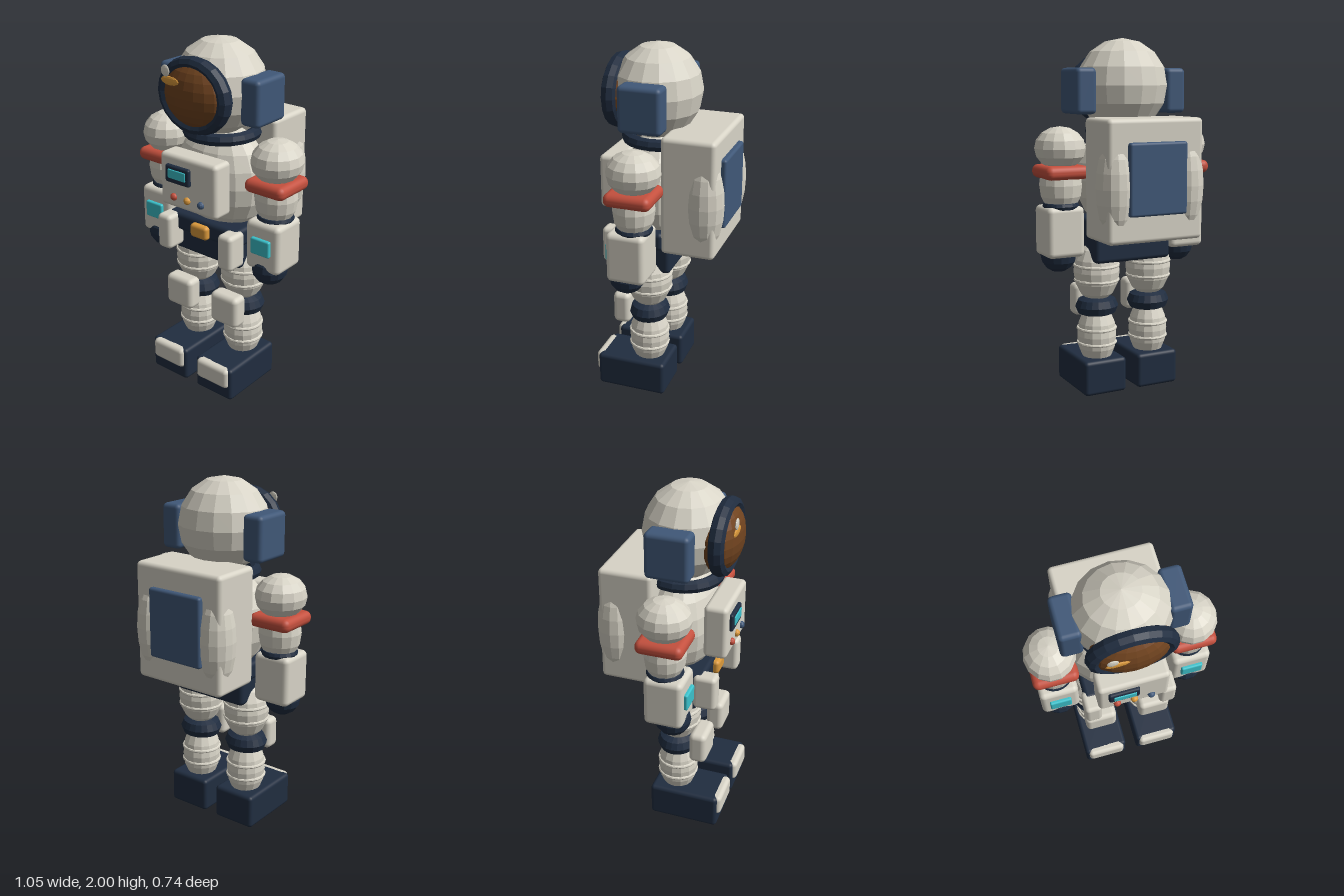
import * as THREE from 'three';
import { RoundedBoxGeometry } from 'three/addons/geometries/RoundedBoxGeometry.js';

function material(name, color, flat = false) {
  const m = new THREE.MeshStandardMaterial({ color, flatShading: flat });
  m.name = name;
  return m;
}

export function createModel() {
  const model = new THREE.Group();
  model.name = 'astronaut';

  const white = material('suitWhite', 0xd8d4c7);
  const navy = material('navy', 0x202d40);
  const blue = material('steelBlue', 0x405878);
  const red = material('red', 0xc4503e);
  const gold = material('gold', 0xdc9a3c);
  const cyan = material('cyan', 0x3cc2cc);
  const brown = material('visorBrown', 0x70431f);

  function add(name, geometry, mat, x, y, z, parent = model) {
    const mesh = new THREE.Mesh(geometry, mat);
    mesh.name = name;
    mesh.position.set(x, y, z);
    parent.add(mesh);
    return mesh;
  }
  // Box with rounded edges, given by its size and centre
  function box(name, mat, [w, h, d], [x, y, z], r, parent) {
    const radius = Math.min(r, Math.min(w, h, d) * 0.49);
    return add(name, new RoundedBoxGeometry(w, h, d, 3, radius), mat, x, y, z, parent);
  }
  // Faceted ellipsoid: the normals are taken per face
  function ball(name, mat, [rx, ry, rz], [x, y, z], parent, ws = 14, hs = 8) {
    const g = new THREE.SphereGeometry(1, ws, hs).scale(rx, ry, rz).toNonIndexed();
    g.computeVertexNormals();
    return add(name, g, mat, x, y, z, parent);
  }
  // Faceted ring, lying flat unless upright
  function ring(name, mat, R, tube, [x, y, z], parent, [sx, sy, sz] = [1, 1, 1], upright = false) {
    let g = new THREE.TorusGeometry(R, tube, 8, 20);
    if (!upright) g.rotateX(Math.PI / 2);
    g = g.scale(sx, sy, sz).toNonIndexed();
    g.computeVertexNormals();
    return add(name, g, mat, x, y, z, parent);
  }

  // Helmet
  ball('helmet', white, [0.26, 0.26, 0.245], [0, 1.74, 0.07], model, 16, 8);
  ring('visorRim', navy, 0.2, 0.038, [0, 1.725, 0.275], model, [1, 0.87, 1.15], true);
  ball('visor', brown, [0.21, 0.182, 0.115], [0, 1.725, 0.25], model, 20, 12);
  ball('visorGlintGold', gold, [0.062, 0.024, 0.008], [-0.095, 1.805, 0.355], model, 12, 6);
  ball('visorGlintWhite', white, [0.03, 0.031, 0.008], [-0.12, 1.855, 0.36], model, 10, 6);
  ring('neckRing', navy, 0.185, 0.035, [0, 1.488, 0.05], model);

  // Torso
  ball('torso', white, [0.29, 0.31, 0.2], [0, 1.22, 0.05], model, 16, 10);
  box('chestPanel', white, [0.39, 0.305, 0.13], [0, 1.248, 0.28], 0.025);
  box('screenFrame', navy, [0.168, 0.1, 0.03], [-0.058, 1.296, 0.35], 0.012);
  box('screen', cyan, [0.122, 0.052, 0.014], [-0.056, 1.3, 0.364], 0.005);
  [red, gold, blue].forEach((mat, i) =>
    ball('chestButton', mat, [0.021, 0.021, 0.02], [(i - 1) * 0.095, 1.162, 0.347], model, 12, 8));

  // Hips and belt
  box('hips', navy, [0.47, 0.22, 0.27], [0, 0.87, 0.06], 0.025);
  box('belt', navy, [0.5, 0.105, 0.275], [0, 0.953, 0.1], 0.025);
  box('buckle', gold, [0.12, 0.08, 0.05], [0, 0.946, 0.245], 0.02);

  // Backpack
  box('backpack', white, [0.57, 0.66, 0.3], [0, 1.24, -0.19], 0.025);
  box('backpackPanel', blue, [0.345, 0.39, 0.05], [0, 1.252, -0.344], 0.015);

  for (const side of [-1, 1]) {
    const name = side > 0 ? 'left' : 'right';
    const sx = (x) => side * x;

    box(name + 'Earpiece', blue, [0.12, 0.25, 0.24], [sx(0.275), 1.71, 0.058], 0.025);
    ball(name + 'AirTank', white, [0.1, 0.27, 0.105], [sx(0.215), 1.203, -0.268], model, 14, 10);
    box(name + 'BeltPouch', white, [0.095, 0.205, 0.13], [sx(0.217), 0.9, 0.247], 0.025);

    // Arm
    const arm = new THREE.Group();
    arm.name = name + 'Arm';
    model.add(arm);
    ball('shoulder', white, [0.14, 0.12, 0.148], [sx(0.383), 1.4, 0.068], arm);
    box('armBand', red, [0.252, 0.075, 0.26], [sx(0.381), 1.272, 0.07], 0.034, arm);
    ball('upperArm', white, [0.12, 0.17, 0.115], [sx(0.38), 1.2, 0.07], arm);
    ring('cuff', navy, 0.08, 0.022, [sx(0.381), 1.084, 0.07], arm);
    box('forearm', white, [0.218, 0.283, 0.216], [sx(0.381), 0.941, 0.088], 0.03, arm);
    box('armDisplay', cyan, [0.122, 0.095, 0.03], [sx(0.382), 0.952, 0.2], 0.01, arm);
    ball('glove', navy, [0.1, 0.095, 0.1], [sx(0.381), 0.797, 0.113], arm);

    // Leg
    const leg = new THREE.Group();
    leg.name = name + 'Leg';
    model.add(leg);
    const lx = sx(0.166);
    ball('thigh', white, [0.132, 0.18, 0.132], [lx, 0.695, 0.068], leg);
    for (const [y, r] of [[0.73, 0.124], [0.645, 0.122]])
      ring('thighRing', white, r, 0.01, [lx, y, 0.068], leg);
    ring('knee', navy, 0.07, 0.055, [lx, 0.493, 0.068], leg, [1, 1, 0.92]);
    box('kneePad', white, [0.188, 0.187, 0.1], [lx, 0.508, 0.21], 0.03, leg);
    ball('shin', white, [0.112, 0.19, 0.115], [lx, 0.32, 0.07], leg);
    for (const y of [0.362, 0.278])
      ring('shinRing', white, 0.107, 0.01, [lx, y, 0.07], leg);
    box('boot', navy, [0.26, 0.2, 0.405], [lx, 0.1, 0.143], 0.022, leg);
    box('toeCap', white, [0.226, 0.122, 0.07], [lx, 0.139, 0.33], 0.025, leg);
  }
  return model;
}
